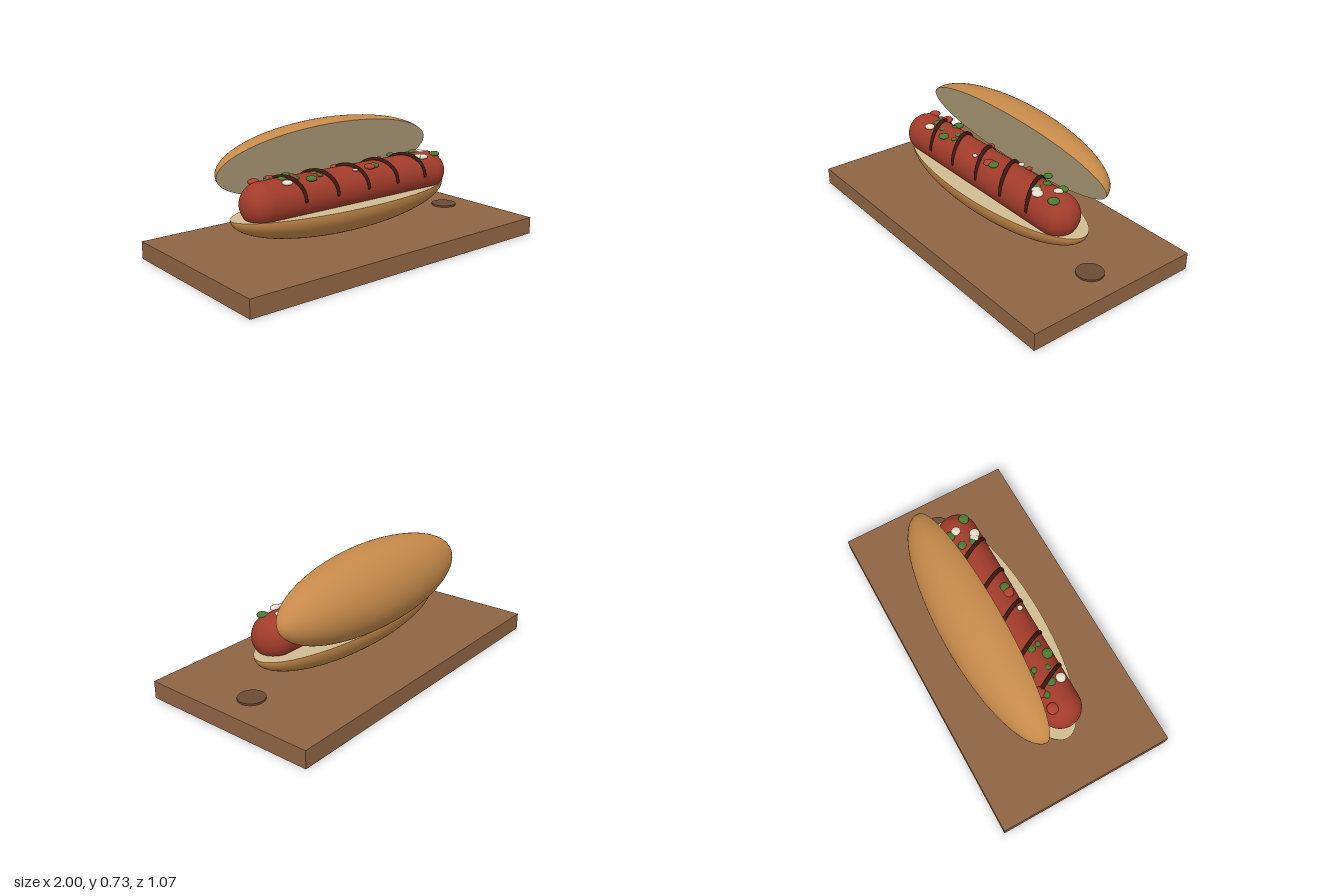
import * as THREE from 'three';

const mat = (color) => new THREE.MeshStandardMaterial({ color });
const crust = mat(0xc68a4a);
const crumb = mat(0xd2bd92);
const green = mat(0x4a7a30);
const red = mat(0xb04030);
const white = mat(0xe6dec8);

function add(parent, name, geometry, material, x = 0, y = 0, z = 0) {
  const mesh = new THREE.Mesh(geometry, material);
  mesh.name = name;
  mesh.position.set(x, y, z);
  parent.add(mesh);
  return mesh;
}

// Half-ellipsoid crust closed by a flat crumb face; the dome points along local +y
function bunHalf(name, height, y, z, tilt) {
  const half = new THREE.Group();
  half.name = name;
  const dome = new THREE.SphereGeometry(1, 64, 24, 0, Math.PI * 2, 0, Math.PI / 2);
  add(half, name + 'Crust', dome, crust).scale.set(0.75, height, 0.234);
  const face = new THREE.CircleGeometry(1, 64).rotateX(Math.PI / 2);
  add(half, name + 'Crumb', face, crumb).scale.set(0.75, 1, 0.234);
  half.position.set(0, y, z);
  half.rotation.x = tilt;
  return half;
}

export function createModel() {
  const model = new THREE.Group();
  model.name = 'hotDogOnBoard';

  // Serving board with a small inset disc
  add(model, 'board', new THREE.BoxGeometry(2, 0.1, 1.066), mat(0x8f6544), 0, 0.05, 0);
  add(model, 'boardDisc', new THREE.CylinderGeometry(0.075, 0.075, 0.012, 40), mat(0x6b4a34), 0.81, 0.104, 0);

  // Bun: the lid is hinged open along the back edge
  model.add(bunHalf('lowerBun', 0.182, 0.287, 0, Math.PI));
  model.add(bunHalf('upperBun', 0.212, 0.501, -0.139, -1.149));

  // Sausage
  const cy = 0.362, cz = 0.038;
  const sausage = new THREE.CapsuleGeometry(0.12, 1.18, 16, 40).rotateZ(Math.PI / 2);
  add(model, 'sausage', sausage, mat(0xa23c2b), 0, cy, cz);

  // Slanted sauce stripes arched over the sausage
  const sauce = mat(0x3d1812);
  for (let i = 0; i < 5; i++) {
    const points = [];
    for (let k = 0; k <= 12; k++) {
      const a = (k / 12) * Math.PI;
      const c = Math.cos(a);
      points.push(new THREE.Vector3(c * 0.06, Math.sin(a) * 0.12 + 0.005, c * 0.115));
    }
    const path = new THREE.CatmullRomCurve3(points);
    const stripe = new THREE.Group();
    stripe.name = 'sauceStripe';
    add(stripe, 'sauceLine', new THREE.TubeGeometry(path, 40, 0.0115, 10), sauce);
    for (const p of [points[0], points[12]]) {
      add(stripe, 'sauceEnd', new THREE.SphereGeometry(0.0115, 10, 8), sauce, p.x, p.y, p.z);
    }
    stripe.position.set(-0.45 + i * 0.217, cy, cz);
    model.add(stripe);
  }

  // Chopped toppings: [x, z, radius]
  const toppings = [
    ['relish', green, [
      [-0.52, -0.01, 0.02], [-0.38, -0.04, 0.029], [-0.37, 0.0, 0.018], [-0.47, 0.045, 0.026],
      [-0.39, 0.07, 0.017], [-0.32, 0.11, 0.03], [-0.26, 0.045, 0.022], [-0.25, 0.09, 0.017],
      [0.13, 0.095, 0.029], [0.47, 0.01, 0.026], [0.46, 0.07, 0.022], [0.555, -0.025, 0.029],
      [0.615, 0.093, 0.031], [0.4, -0.06, 0.025]]],
    ['tomato', red, [
      [-0.6, -0.02, 0.033], [-0.49, -0.035, 0.033], [-0.055, -0.03, 0.022],
      [0.095, 0.1, 0.031], [0.28, -0.03, 0.018]]],
    ['onion', white, [
      [-0.473, 0.104, 0.029], [-0.018, 0.11, 0.016], [0.22, -0.025, 0.018],
      [0.48, 0.09, 0.027], [0.505, 0.105, 0.031], [0.565, 0.018, 0.028]]],
  ];
  const bit = new THREE.SphereGeometry(1, 16, 10);
  for (const [name, material, list] of toppings) {
    for (const [x, z, r] of list) {
      // Bits near the crown line sit slightly higher than those at the sides
      const y = 0.468 + 0.01 * (1 - Math.min(1, Math.abs(z - cz) / 0.08));
      add(model, name, bit, material, x, y, z).scale.set(r, r * 0.5, r);
    }
  }

  return model;
}
